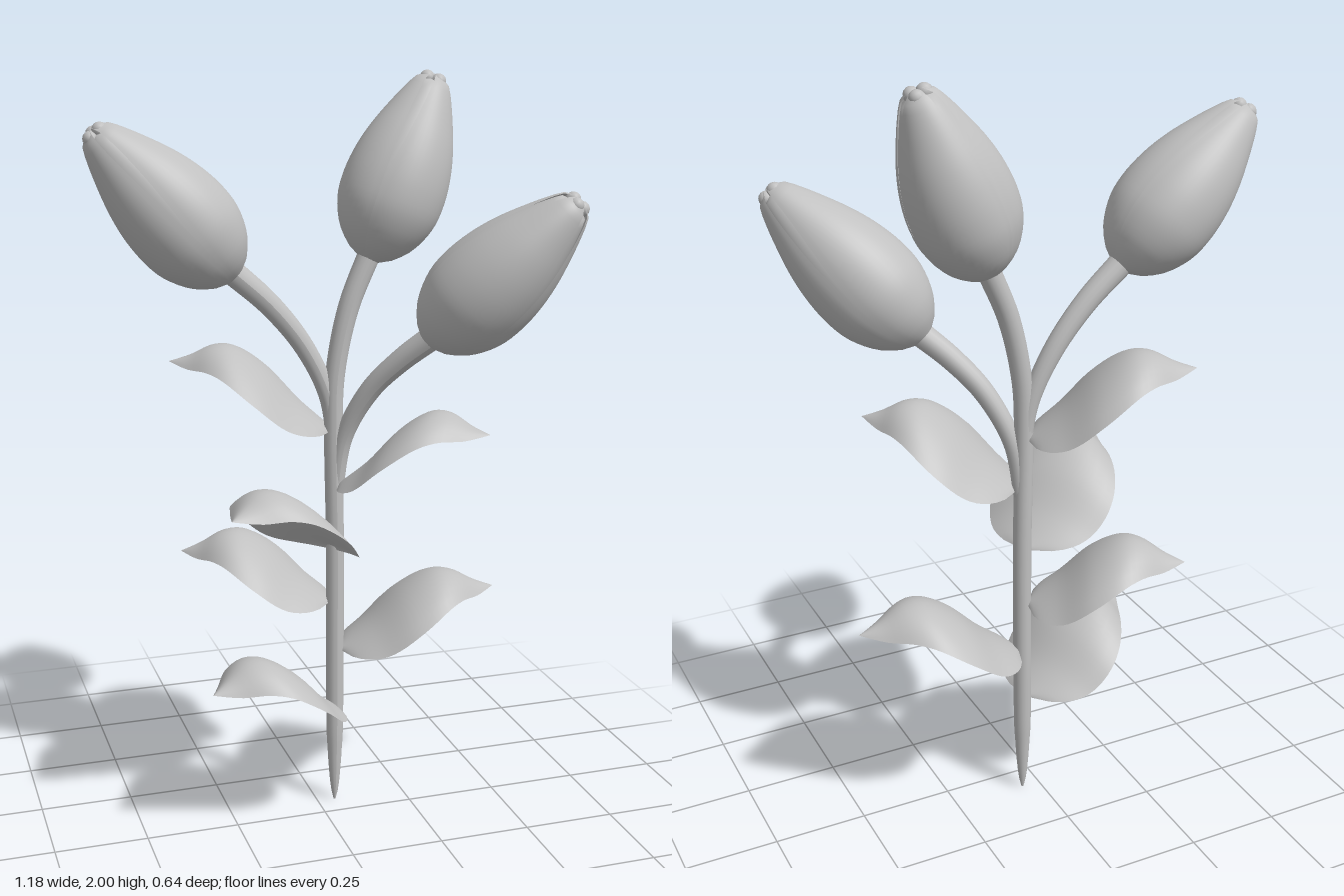
import * as THREE from 'three';

const V = (x, y, z) => new THREE.Vector3(x, y, z);

// smooth interpolation through [position, value] pairs
function profile(pairs) {
  const curve = new THREE.SplineCurve(pairs.map(p => new THREE.Vector2(p[0], p[1])));
  const pts = curve.getPoints(120);
  return t => {
    for (let i = 1; i < pts.length; i++) {
      if (t <= pts[i].x) {
        const a = pts[i - 1], b = pts[i];
        return a.y + (b.y - a.y) * (t - a.x) / Math.max(b.x - a.x, 1e-6);
      }
    }
    return pts[pts.length - 1].y;
  };
}

// grid surface from a rule f(u, v), u and v in 0..1
function surface(nu, nv, f) {
  const g = new THREE.PlaneGeometry(1, 1, nu, nv);
  const p = g.attributes.position;
  for (let i = 0; i < p.count; i++) {
    const q = f(p.getX(i) + 0.5, p.getY(i) + 0.5);
    p.setXYZ(i, q.x, q.y, q.z);
  }
  g.computeVertexNormals();
  return g;
}

// tube whose radius changes along its length
function taperedTube(points, radiusAt, segments) {
  const curve = new THREE.CatmullRomCurve3(points);
  const g = new THREE.TubeGeometry(curve, segments, 1, 16, false);
  const p = g.attributes.position, v = V(0, 0, 0);
  for (let i = 0; i < p.count; i++) {
    const u = Math.floor(i / 17) / segments;
    const c = curve.getPointAt(u);
    v.fromBufferAttribute(p, i).sub(c).multiplyScalar(radiusAt(u)).add(c);
    p.setXYZ(i, v.x, v.y, v.z);
  }
  g.computeVertexNormals();
  return g;
}

const budRadius = profile([[0, 0.025], [0.03, 0.055], [0.12, 0.1], [0.25, 0.13], [0.38, 0.137],
  [0.52, 0.13], [0.66, 0.112], [0.8, 0.085], [0.91, 0.06], [0.97, 0.042], [1, 0.018]]);
const leafWidth = profile([[0, 0.012], [0.04, 0.075], [0.13, 0.128], [0.28, 0.165], [0.42, 0.172],
  [0.58, 0.147], [0.78, 0.083], [1, 0]]);
const leafRise = profile([[0, 0], [0.2, 0.065], [0.4, 0.15], [0.58, 0.198], [0.72, 0.2], [0.87, 0.167], [1, 0.145]]);

// closed bud: lobed core with three overlapping outer petals
function makeBud(base, tip, turn, material) {
  const bud = new THREE.Group();
  bud.name = 'bud';
  const length = base.distanceTo(tip);
  const place = (a, r, t) => V(Math.sin(a) * r, t * length, Math.cos(a) * r);

  const core = new THREE.Mesh(surface(48, 28, (u, t) => {
    const a = u * Math.PI * 2;
    const r = budRadius(t) * (0.925 - 0.035 * Math.cos(3 * a));
    return place(a, t === 0 || t === 1 ? 0 : r, t * 0.985);
  }), material);
  core.name = 'innerPetals';
  bud.add(core);

  for (let k = 0; k < 3; k++) {
    const petal = new THREE.Mesh(surface(16, 28, (u, t) => {
      const s = u * 2 - 1;
      const half = 1.08 - 0.3 * t * t;
      const a = k * Math.PI * 2 / 3 + s * half + 0.12 * t;
      const r = budRadius(t) * (1.01 - 0.035 * s * s);
      return place(a, r, t);
    }), material);
    petal.name = 'outerPetal';
    bud.add(petal);
    // rounded petal tip
    const nub = new THREE.Mesh(new THREE.SphereGeometry(0.02, 12, 8), material);
    nub.name = 'petalTip';
    nub.position.copy(place(k * Math.PI * 2 / 3 + 0.12, 0.018, 0.97));
    bud.add(nub);
  }
  const dir = tip.clone().sub(base).normalize();
  bud.quaternion.setFromUnitVectors(V(0, 1, 0), dir);
  bud.rotateY(turn);
  bud.position.copy(base);
  return bud;
}

// arched leaf running from the stem to a pointed tip
function makeLeaf(y, tip, material) {
  const start = V(0.05, y, -0.07);
  const along = V(tip.x - start.x, 0, tip.z - start.z);
  const length = along.length();
  along.normalize();
  const side = V(along.z, 0, -along.x);
  start.addScaledVector(along, 0.015);
  const extra = tip.y - y - 0.145;
  const leaf = new THREE.Mesh(surface(12, 28, (u, s) => {
    const v = u * 2 - 1;
    const droop = 0.075 * v * v * Math.sin(Math.PI * Math.min(1, s * 0.97 + 0.03));
    return start.clone()
      .addScaledVector(along, s * (length - 0.015))
      .addScaledVector(side, -v * leafWidth(s))
      .add(V(0, leafRise(s) + extra * s - droop, 0));
  }), material);
  leaf.name = 'leaf';
  return leaf;
}

export function createModel() {
  const model = new THREE.Group();
  model.name = 'flowerStem';
  const grey = new THREE.MeshStandardMaterial({ color: 0xc0c0c0, side: THREE.DoubleSide });
  grey.name = 'plainGrey';

  // main stem, pointed at the foot, and two branches
  const mainRadius = profile([[0, 0.003], [0.03, 0.012], [0.1, 0.02], [0.2, 0.024], [0.7, 0.025], [1, 0.03]]);
  const branchRadius = u => 0.02 + 0.013 * u;
  const stems = [
    ['mainStem', [V(0.05, 0, -0.07), V(0.05, 0.35, -0.07), V(0.05, 0.75, -0.07), V(0.045, 1.08, -0.07),
      V(0.05, 1.23, -0.07), V(0.085, 1.4, -0.07), V(0.147, 1.55, -0.072)], mainRadius, 60],
    ['leftwardBranch', [V(0.05, 1.02, -0.07), V(0.03, 1.17, -0.075), V(-0.03, 1.3, -0.08),
      V(-0.12, 1.415, -0.082), V(-0.23, 1.515, -0.084)], branchRadius, 30],
    ['forwardBranch', [V(0.05, 0.9, -0.07), V(0.07, 1.06, -0.055), V(0.125, 1.19, -0.01),
      V(0.19, 1.275, 0.04), V(0.262, 1.345, 0.09)], branchRadius, 30],
  ];
  for (const [name, points, radius, segments] of stems) {
    const stem = new THREE.Mesh(taperedTube(points, radius, segments), grey);
    stem.name = name;
    model.add(stem);
  }

  // flower buds
  model.add(makeBud(V(-0.215, 1.495, -0.084), V(-0.568, 1.868, -0.092), 0.9, grey));
  model.add(makeBud(V(0.14, 1.525, -0.07), V(0.325, 1.99, -0.092), 0.4, grey));
  model.add(makeBud(V(0.25, 1.33, 0.08), V(0.567, 1.7, 0.285), 1.4, grey));

  // leaves, from top to bottom
  const leaves = [
    [1.08, V(-0.36, 1.255, -0.237)],
    [0.935, V(0.385, 1.1, 0.19)],
    [0.755, V(-0.3, 0.93, 0.19)],
    [0.6, V(-0.335, 0.717, -0.26)],
    [0.46, V(0.505, 0.6, -0.045)],
    [0.3, V(-0.335, 0.435, 0.1)],
  ];
  for (const [y, tip] of leaves) model.add(makeLeaf(y, tip, grey));

  return model;
}
